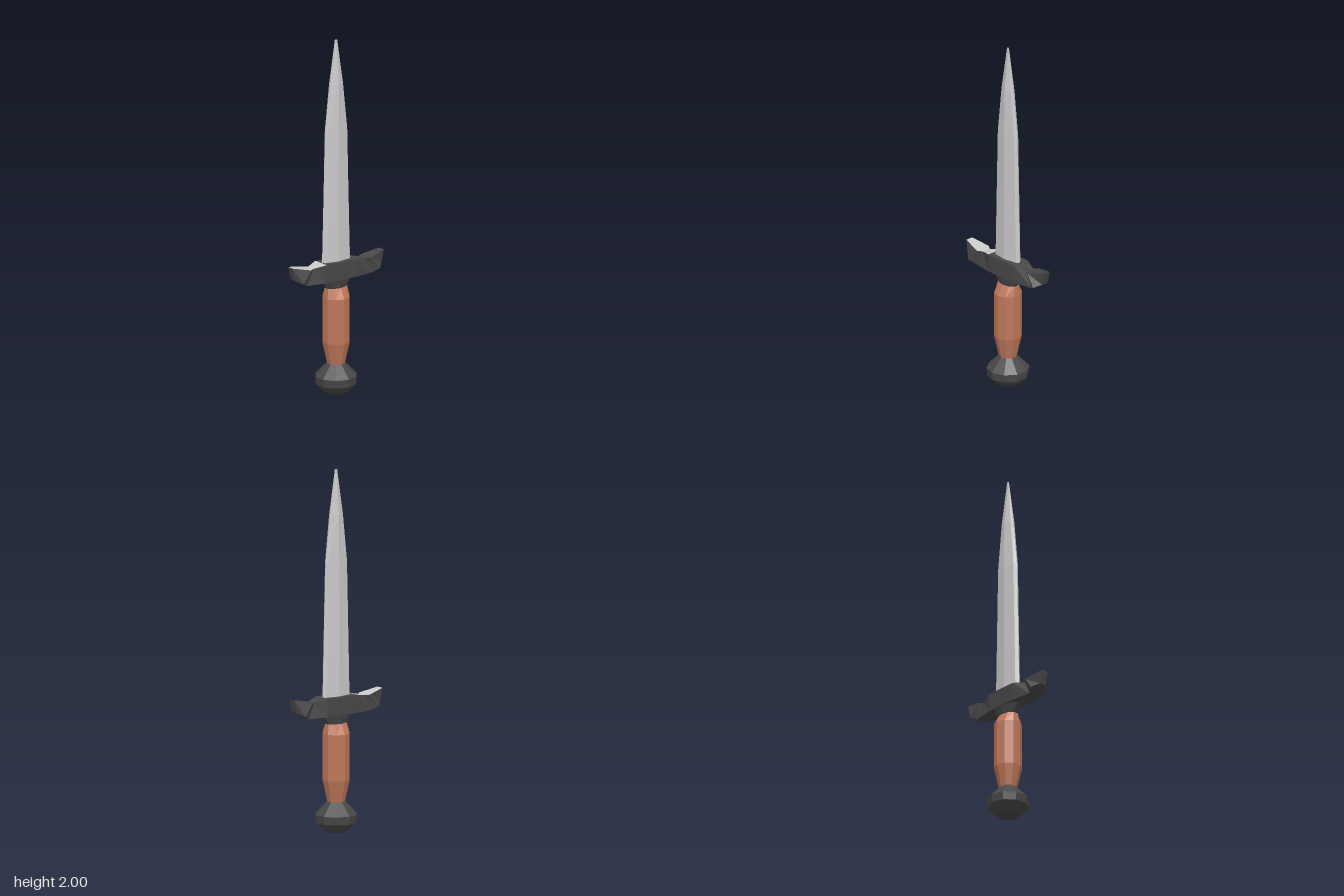
import * as THREE from 'three';

const paint = (color) => new THREE.MeshStandardMaterial({ color, flatShading: true, side: THREE.DoubleSide });
const steel = paint(0xcccccc);
const iron = paint(0x484848);
const leather = paint(0xbf785a);

// Skins a row of rings; each ring runs counter-clockwise seen from the far end.
function loft(rings, closed = true) {
  const n = rings[0].length;
  const index = [];
  for (let r = 0; r < rings.length - 1; r++) {
    for (let i = 0; i < (closed ? n : n - 1); i++) {
      const j = (i + 1) % n;
      const a = r * n + i, b = r * n + j;
      index.push(a, b, b + n, a, b + n, a + n);
    }
  }
  if (closed) {
    const last = (rings.length - 1) * n;
    for (let i = 1; i < n - 1; i++) {
      index.push(0, i + 1, i, last, last + i, last + i + 1);
    }
  }
  const indexed = new THREE.BufferGeometry();
  indexed.setAttribute('position', new THREE.Float32BufferAttribute(rings.flat(2), 3));
  indexed.setIndex(index);
  const geometry = indexed.toNonIndexed();
  geometry.computeVertexNormals();
  return geometry;
}

// Ten-sided turned shape from rows of [y, x radius, z radius]
const turned = (rows) => loft(rows.map(([y, rx, rz = rx]) =>
  Array.from({ length: 10 }, (_, i) => {
    const a = (i / 10) * Math.PI * 2;
    return [Math.sin(a) * rx, y, Math.cos(a) * rz];
  })));

export function createModel() {
  const group = new THREE.Group();
  const add = (name, geometry, material) => {
    const mesh = new THREE.Mesh(geometry, material);
    mesh.name = name;
    group.add(mesh);
  };

  // Handle
  add('pommel', turned([[0, 0.045], [0.012, 0.07], [0.055, 0.113], [0.1, 0.118], [0.17, 0.05]]), iron);
  add('grip', turned([[0.17, 0.05], [0.29, 0.077], [0.545, 0.077], [0.6, 0.068, 0.045]]), leather);
  add('collar', turned([[0.595, 0.062, 0.038], [0.65, 0.1, 0.05]]), iron);

  // Guard: [top x, top y, top half depth, bottom x, bottom y, bottom half depth]
  const arm = [
    [0.1, 0.75, 0.052, 0.1, 0.65, 0.052],
    [0.17, 0.735, 0.025, 0.22, 0.65, 0.034],
    [0.2, 0.737, 0.045, 0.255, 0.67, 0.055],
    [0.305, 0.76, 0.022, 0.29, 0.69, 0.02],
  ];
  const section = (s, [tx, ty, tz, bx, by, bz]) => [
    [s * tx, ty, tz], [s * bx, by, bz], [s * bx, by, -bz], [s * tx, ty, -tz],
  ];
  const outward = [...arm].reverse();
  add('guard', loft([...outward.map((p) => section(-1, p)), ...arm.map((p) => section(1, p))]), iron);

  // Bright upper face on the right arm of the guard
  add('guardRightTop', loft(outward.map(([x, y, z]) => [[-x, y + 0.0015, -z], [-x, y + 0.0015, z]]), false), steel);

  // Blade: [y, half width, half thickness], ridged in the middle with bevelled edges
  const blade = [[0.74, 0.094, 0.03], [1.49, 0.074, 0.029], [1.75, 0.043, 0.025], [2, 0.008, 0.001]];
  add('blade', loft(blade.map(([y, w, t]) => [
    [0, y, t], [w * 0.86, y, t * 0.55], [w, y, 0], [w * 0.86, y, -t * 0.55],
    [0, y, -t], [-w * 0.86, y, -t * 0.55], [-w, y, 0], [-w * 0.86, y, t * 0.55],
  ])), steel);

  return group;
}
